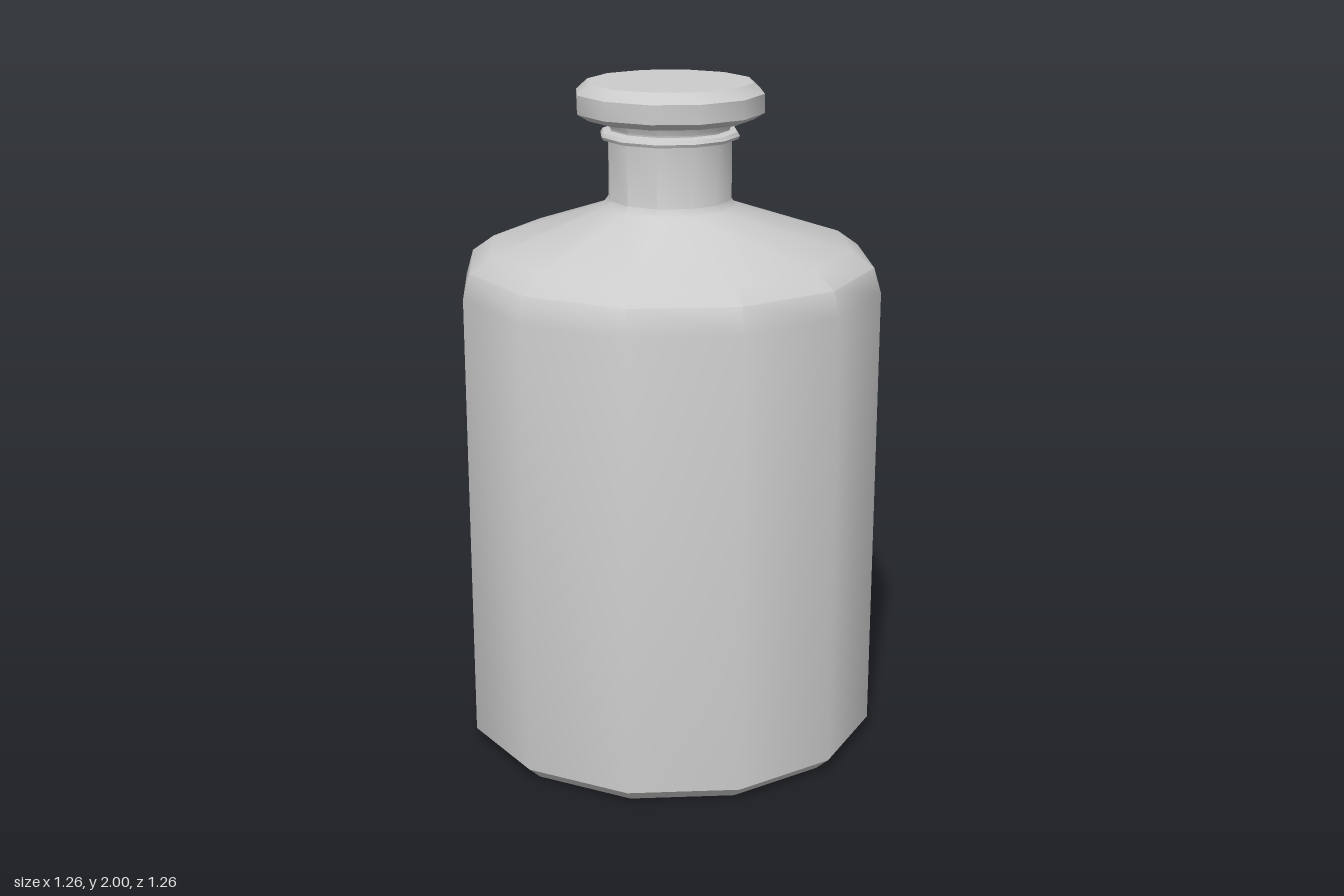
import * as THREE from 'three';
import { toCreasedNormals } from 'three/addons/utils/BufferGeometryUtils.js';

const SIDES = 12;
const material = new THREE.MeshStandardMaterial({ color: 0xcccccc });

// Turned part from [radius, height] pairs, listed bottom to top
function turned(name, profile, crease) {
  const points = profile.map(([r, y]) => new THREE.Vector2(r, y));
  const geometry = toCreasedNormals(new THREE.LatheGeometry(points, SIDES), crease);
  const mesh = new THREE.Mesh(geometry, material);
  mesh.name = name;
  return mesh;
}

export function createModel() {
  const bottle = new THREE.Group();
  bottle.name = 'bottle';

  // Chamfered base, straight wall, rounded shoulder and neck
  bottle.add(turned('body', [
    [0, 0], [0.585, 0], [0.628, 0.04], [0.628, 1.4], [0.606, 1.475], [0.54, 1.522],
    [0.2, 1.637], [0.184, 1.66], [0.184, 1.845], [0, 1.845],
  ], 0.75));

  // Thin lip around the mouth
  bottle.add(turned('lip', [
    [0.18, 1.838], [0.203, 1.838], [0.207, 1.847], [0.2, 1.858], [0.175, 1.864], [0, 1.864],
  ], 0.75));

  // Stopper with a short plug and a bevelled disc on top
  bottle.add(turned('stopper', [
    [0, 1.85], [0.178, 1.85], [0.178, 1.868], [0.19, 1.893], [0.245, 1.895],
    [0.278, 1.915], [0.278, 1.97], [0.245, 2], [0, 2],
  ], 0.6));

  return bottle;
}
